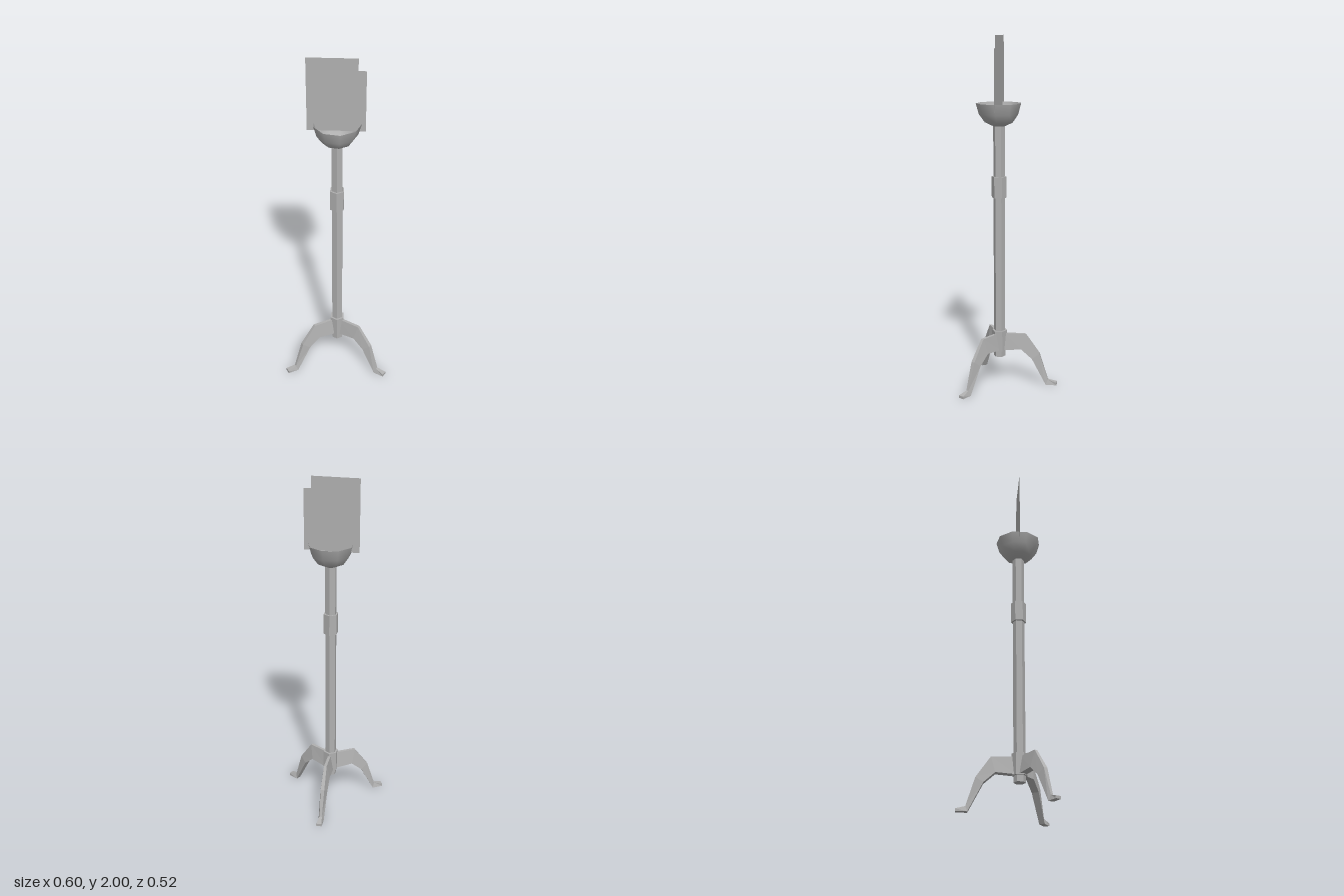
import * as THREE from 'three';

export function createModel() {
  const grey = new THREE.MeshStandardMaterial({ color: 0xb0b0b0, side: THREE.DoubleSide });
  grey.name = 'grey metal';
  const model = new THREE.Group();
  model.name = 'standingTorch';

  const add = (name, geometry, parent) => {
    const mesh = new THREE.Mesh(geometry, grey);
    mesh.name = name;
    parent.add(mesh);
    return mesh;
  };
  // Faceted normals for the low-poly metalwork
  const faceted = (geometry) => {
    const g = geometry.index ? geometry.toNonIndexed() : geometry;
    g.computeVertexNormals();
    return g;
  };

  // Everything stands around one upright axis
  const stand = new THREE.Group();
  stand.name = 'stand';
  stand.position.set(-0.006, 0, 0.075);
  model.add(stand);

  // Hexagonal pole, collar, hub and bottom finial
  const hexPart = (name, radius, y0, y1) => {
    const mesh = add(name, faceted(new THREE.CylinderGeometry(radius, radius, y1 - y0, 6)), stand);
    mesh.position.y = (y0 + y1) / 2;
  };
  hexPart('pole', 0.033, 0.2, 1.51);
  hexPart('collar', 0.043, 1.1, 1.22);
  hexPart('hub', 0.044, 0.197, 0.318);
  hexPart('finial', 0.034, 0.16, 0.2);

  // Open nine-sided bowl
  const bowlProfile = [[0, 1.5], [0.035, 1.504], [0.08, 1.525], [0.112, 1.57], [0.129, 1.63]]
    .map(([r, y]) => new THREE.Vector2(r, y));
  add('bowl', new THREE.LatheGeometry(bowlProfile, 9, Math.PI / 2), stand);

  // Upright flame card with a notched upper corner
  const card = new THREE.Shape([
    [-0.159, 1.588], [0.15, 1.588], [0.15, 1.932], [0.108, 1.932], [0.108, 2], [-0.159, 2],
  ].map(([x, y]) => new THREE.Vector2(x, y)));
  add('flameCard', new THREE.ShapeGeometry(card), stand);

  // Leg stations: top radius and height, bottom radius and height, half widths
  const stations = [
    [0.02, 0.3, 0.02, 0.2, 0.008, 0.022],
    [0.153, 0.3, 0.13, 0.21, 0.008, 0.022],
    [0.235, 0.185, 0.193, 0.155, 0.011, 0.021],
    [0.285, 0.03, 0.274, 0, 0.007, 0.016],
    [0.337, 0.015, 0.337, 0, 0.016, 0.016],
  ];
  const positions = [];
  for (const [topR, topY, lowR, lowY, topW, lowW] of stations) {
    positions.push(topR, topY, -topW, topR, topY, topW, lowR, lowY, lowW, lowR, lowY, -lowW);
  }
  const index = [0, 1, 2, 0, 2, 3];
  for (let s = 0; s < stations.length - 1; s++) {
    for (let k = 0; k < 4; k++) {
      const a = s * 4 + k, b = s * 4 + (k + 1) % 4;
      index.push(a, b + 4, a + 4, a, b, b + 4);
    }
  }
  const end = (stations.length - 1) * 4;
  index.push(end, end + 2, end + 1, end, end + 3, end + 2);
  const legShape = new THREE.BufferGeometry();
  legShape.setAttribute('position', new THREE.Float32BufferAttribute(positions, 3));
  legShape.setIndex(index);
  const legGeometry = faceted(legShape);

  // One leg to the back, two splayed to the front
  ['backLeg', 'frontRightLeg', 'frontLeftLeg'].forEach((name, i) => {
    add(name, legGeometry, stand).rotation.y = Math.PI / 2 + i * Math.PI * 2 / 3;
  });

  return model;
}
